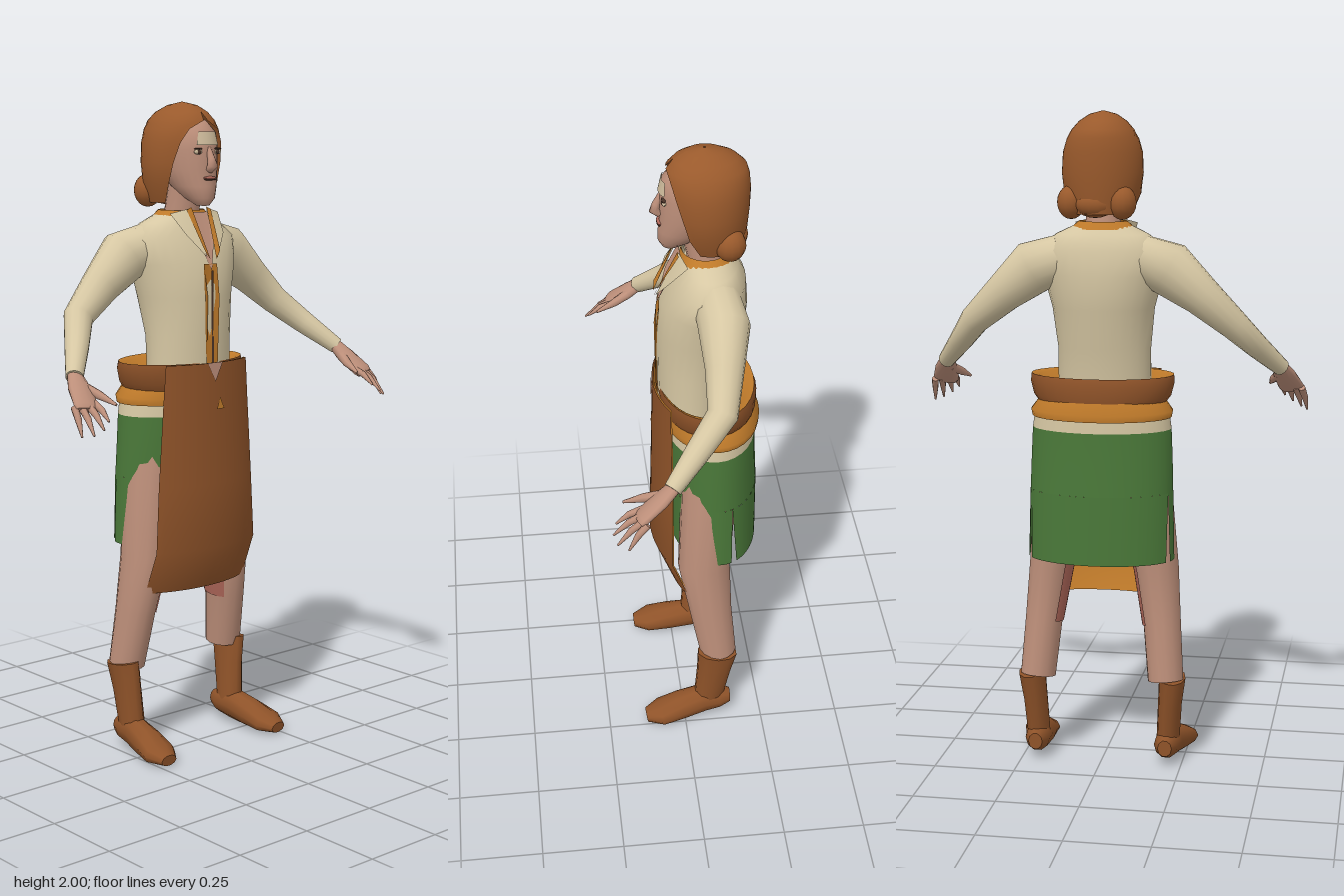
import * as THREE from 'three';

const mat = (name, color, side = THREE.DoubleSide) => {
  const m = new THREE.MeshStandardMaterial({ color, side });
  m.name = name;
  return m;
};
const M = {
  skin: mat('skin', 0xbd8f7a), blush: mat('reddened skin', 0xb0685a), hair: mat('hair', 0x9a5a2c),
  linen: mat('linen', 0xd6c7a3), green: mat('green cloth', 0x4a7839), leather: mat('leather', 0x8f5329),
  trim: mat('ochre trim', 0xbf7a2a), dark: mat('dark', 0x4a3328), pale: mat('pale', 0xcfbc9c),
};
const V = (x, y, z) => new THREE.Vector3(x, y, z);

// Skin a list of rings {c, u, v, from, to}; an arc narrower than a turn stays open
function skinRings(rings, seg, cap) {
  const pos = [], idx = [];
  const open = rings.some(r => r.from !== undefined);
  const cols = open ? seg + 1 : seg;
  const addRing = r => {
    const { c, u, v, from = 0, to = Math.PI * 2 } = r;
    for (let j = 0; j < cols; j++) {
      const a = from + (to - from) * j / seg;
      const p = c.clone().addScaledVector(u, Math.cos(a)).addScaledVector(v, Math.sin(a));
      pos.push(p.x, p.y, p.z);
    }
  };
  rings.forEach(addRing);
  for (let i = 0; i < rings.length - 1; i++) for (let j = 0; j < seg; j++) {
    const k = (j + 1) % cols, a = i * cols + j, b = i * cols + k;
    idx.push(a, a + cols, b, b, a + cols, b + cols);
  }
  if (cap && !open) [rings[0], rings[rings.length - 1]].forEach((r, e) => {
    const s = pos.length / 3;
    addRing(r);
    pos.push(r.c.x, r.c.y, r.c.z);
    for (let j = 0; j < seg; j++) {
      const k = s + (j + 1) % seg;
      idx.push(s + seg, e ? k : s + j, e ? s + j : k);
    }
  });
  const g = new THREE.BufferGeometry();
  g.setAttribute('position', new THREE.Float32BufferAttribute(pos, 3));
  g.setIndex(idx);
  g.computeVertexNormals();
  return g;
}

// Level rings: [y, z centre, x radius, z radius, from, to], listed upwards
const stack = (rows, seg = 24, cap = false) => skinRings(rows.map(([y, z, rx, rz, from, to]) =>
  ({ c: V(0, y, z), u: V(rx, 0, 0), v: V(0, 0, rz), from, to })), seg, cap);

// Rings square to a path: [x, y, z, radius along ref, other radius]; s mirrors it
function sweep(pts, s, ref, seg = 12, arc = {}) {
  const P = pts.map(p => V(p[0] * s, p[1], p[2]));
  return skinRings(P.map((c, i) => {
    const t = P[Math.min(i + 1, P.length - 1)].clone().sub(P[Math.max(i - 1, 0)]).normalize();
    const u = V(ref[0] * s, ref[1], ref[2]);
    u.addScaledVector(t, -u.dot(t)).normalize();
    const v = u.clone().cross(t);
    const [a, b = a] = pts[i].slice(3);
    return { c, u: u.multiplyScalar(a), v: v.multiplyScalar(b), ...arc };
  }), seg, true);
}

// Flat plate from corner points
function plate(corners) {
  const g = new THREE.BufferGeometry().setFromPoints(corners.map(c => V(...c)));
  g.setIndex(corners.slice(2).flatMap((_, i) => [0, i + 1, i + 2]));
  g.computeVertexNormals();
  return g;
}

export function createModel() {
  const root = new THREE.Group();
  const add = (name, geo, m) => {
    const mesh = new THREE.Mesh(geo, m);
    mesh.name = name;
    root.add(mesh);
    return mesh;
  };
  const blob = (name, m, p, r) => {
    const mesh = add(name, new THREE.SphereGeometry(1, 14, 10), m);
    mesh.position.set(...p);
    mesh.scale.set(...r);
  };
  const F = Math.PI / 2, T = Math.PI * 2;

  // Head and face
  add('head', stack([[1.693, .02, .018, .022], [1.715, .006, .042, .05], [1.75, -.022, .062, .078],
    [1.8, -.045, .079, .096], [1.86, -.06, .086, .112], [1.91, -.065, .083, .11],
    [1.945, -.07, .06, .08], [1.965, -.07, .015, .02]], 24, true), M.skin);
  add('neck', stack([[1.58, -.085, .062, .06], [1.66, -.08, .054, .054], [1.76, -.06, .05, .055]], 16), M.skin);
  add('nose', sweep([[0, 1.865, .046, .007], [0, 1.83, .06, .012], [0, 1.812, .066, .017, .015],
    [0, 1.8, .05, .012]], 1, [1, 0, 0], 10), M.skin);
  add('foreheadPatch', stack([[1.873, -.06, .088, .1155, F - .5, F + .5],
    [1.912, -.065, .085, .112, F - .4, F + .4]], 10), M.pale);
  blob('upperLip', M.blush, [0, 1.776, .052], [.024, .005, .008]);
  blob('mouthLine', M.dark, [0, 1.771, .053], [.024, .0025, .007]);
  for (const s of [-1, 1]) {
    blob('eye', M.pale, [s * .036, 1.853, .042], [.017, .008, .006]);
    blob('pupil', M.dark, [s * .036, 1.853, .046], [.007, .007, .004]);
    blob('eyelid', M.dark, [s * .036, 1.862, .043], [.018, .003, .006]);
  }

  // Bobbed hair with a face opening and curled ends
  const hairRows = [[1.7, -.095, .09, .095, 1.15], [1.76, -.085, .114, .114, 1], [1.82, -.083, .121, .121, .88],
    [1.88, -.08, .118, .126, .75], [1.92, -.08, .106, .122, .55], [1.945, -.08, .092, .114, .08],
    [1.97, -.078, .07, .09, 0], [1.99, -.075, .04, .052, 0], [2, -.075, .003, .003, 0]];
  add('hair', stack(hairRows.map(([y, z, rx, rz, g]) => [y, z, rx, rz, F + g, F + T - g]), 32), M.hair);
  blob('leftCurl', M.hair, [.085, 1.735, -.14], [.042, .05, .045]);
  blob('rightCurl', M.hair, [-.07, 1.735, -.155], [.042, .05, .045]);
  blob('napeCurl', M.hair, [.01, 1.73, -.16], [.06, .04, .04]);

  // Shirt
  add('shirtBody', stack([[1.16, -.045, .142, .105], [1.3, -.05, .142, .112], [1.42, -.067, .155, .13],
    [1.52, -.075, .182, .127], [1.595, -.088, .195, .108], [1.64, -.088, .14, .085],
    [1.672, -.08, .072, .066]], 28), M.linen);
  add('neckTrim', stack([[1.655, -.083, .1, .079], [1.678, -.08, .072, .068]]), M.trim);
  add('frontPlacket', plate([[-.022, 1.2, .064], [.022, 1.2, .064], [.026, 1.42, .068], [.026, 1.52, .056],
    [-.026, 1.52, .056], [-.02, 1.42, .068]]), M.trim);
  add('placketSlit', plate([[-.003, 1.22, .067], [.005, 1.22, .067], [.005, 1.5, .063], [-.003, 1.5, .063]]), M.dark);
  add('openNeck', plate([[0, 1.5, .063], [.035, 1.6, .032], [.042, 1.672, -.006], [-.042, 1.672, -.006],
    [-.035, 1.6, .032]]), M.skin);
  for (const s of [-1, 1]) {
    add('collarFlap', plate([[s * .03, 1.685, 0], [s * .095, 1.67, -.02], [s * .075, 1.61, .03],
      [s * .02, 1.54, .066]]), M.linen);
    add('collarEdge', plate([[s * .03, 1.688, .003], [s * .048, 1.68, .002], [s * .03, 1.56, .066],
      [s * .012, 1.535, .07]]), M.trim);
  }

  for (const s of [-1, 1]) {
    // Sleeve
    add('sleeve', sweep([[.12, 1.57, -.1, .07, .07], [.205, 1.54, -.11, .075, .082], [.3, 1.46, -.1, .056, .06],
      [.395, 1.375, -.083, .045, .045], [.46, 1.3, -.005, .036, .036], [.527, 1.228, .072, .026, .026]],
    s, [0, 0, 1], 14), M.linen);

    // Hand with four fingers and a thumb
    add('palm', sweep([[.522, 1.235, .064, .022, .019], [.535, 1.2, .105, .036, .02], [.552, 1.158, .16, .04, .015],
      [.556, 1.148, .17, .034, .01]], s, [1, 0, 0], 12), M.skin);
    const tips = [[.528, 1.12, .232], [.553, 1.1, .242], [.58, 1.085, .232], [.6, 1.08, .202]];
    tips.forEach(([x, y, z], i) => {
      const b = [.522 + i * .021, 1.162 - i * .002, .157 - i * .003];
      add('finger', sweep([[...b, .0115], [(b[0] + x) / 2, (b[1] + y) / 2 + .008, (b[2] + z) / 2, .01],
        [x, y, z, .003]], s, [1, 0, 0], 7), M.skin);
    });
    add('thumb', sweep([[.52, 1.205, .095, .016], [.498, 1.182, .15, .013], [.483, 1.16, .208, .004]],
      s, [1, 0, 0], 8), M.skin);

    // Leg
    const leg = [[.1, 1.02, -.09, .09], [.13, .85, -.08, .085], [.165, .62, -.065, .068, .082],
      [.185, .45, -.085, .058, .068], [.2, .275, -.11, .055, .058]];
    add('leg', sweep(leg, s, [1, 0, 0], 14), M.skin);
    add('innerThigh', sweep(leg.slice(0, 4).map(p => p.map((n, i) => i > 2 ? n + .003 : n)), s, [1, 0, 0], 8,
      { from: Math.PI - .75, to: Math.PI + .75 }), M.blush);

    // Boot
    add('bootShaft', sweep([[.22, .285, -.105, .041, .065], [.212, .2, -.095, .037, .056],
      [.205, .08, -.08, .036, .048]], s, [1, 0, 0], 10), M.leather);
    add('bootFoot', sweep([[.203, .066, -.15, .022, .026], [.203, .066, -.115, .038, .042],
      [.207, .064, -.06, .042, .05], [.216, .05, .01, .05, .045], [.226, .034, .08, .056, .032],
      [.228, .026, .128, .028, .018]], s, [1, 0, 0], 10), M.leather);
  }

  // Skirt: closed above, split at both sides below
  add('skirtBand', stack([[1.06, -.098, .212, .138], [1.115, -.098, .204, .136]], 32), M.linen);
  add('skirtUpper', stack([[.87, -.105, .219, .138], [.97, -.1, .216, .138], [1.06, -.098, .212, .138]], 32), M.green);
  const hem = (a, b, d) => [[.66, -.11, .224, .134, a + d, b - d], [.87, -.105, .219, .138, a, b]];
  add('skirtBack', stack(hem(Math.PI + .3, T - .3, .1), 20), M.green);
  add('skirtFront', stack(hem(-.3, Math.PI + .3, .03), 24), M.green);

  // Rolled belt and trim
  add('beltTrim', stack([[1.095, -.1, .212, .146], [1.115, -.1, .216, .148], [1.15, -.095, .19, .14]], 32), M.trim);
  add('belt', stack([[1.135, -.092, .19, .138], [1.16, -.09, .209, .146], [1.2, -.088, .219, .149],
    [1.222, -.086, .217, .144]], 32), M.leather);
  add('beltLining', stack([[1.222, -.086, .217, .144], [1.215, -.08, .195, .13], [1.17, -.05, .14, .1]], 32), M.trim);

  // Apron, wrapping slightly round the sides
  const apronRows = [[.515, -.135, .28, .17, .8], [.65, -.085, .28, .173, .79], [.85, -.085, .27, .168, .77],
    [1.1, -.085, .255, .163, .73], [1.222, -.085, .25, .161, .7]];
  const apron = grow => stack(apronRows.map(([y, z, rx, rz, h]) =>
    [y, z, rx + grow, rz + grow, F - h, F + h]), 16);
  add('apron', apron(0), M.leather);
  add('apronLining', apron(-.005), M.trim);
  add('apronNotch', plate([[-.03, 1.223, .079], [0, 1.165, .081], [.03, 1.223, .079]]), M.skin);
  add('apronTie', plate([[.018, 1.115, .081], [.004, 1.08, .083], [.034, 1.08, .083]]), M.trim);

  return root;
}
